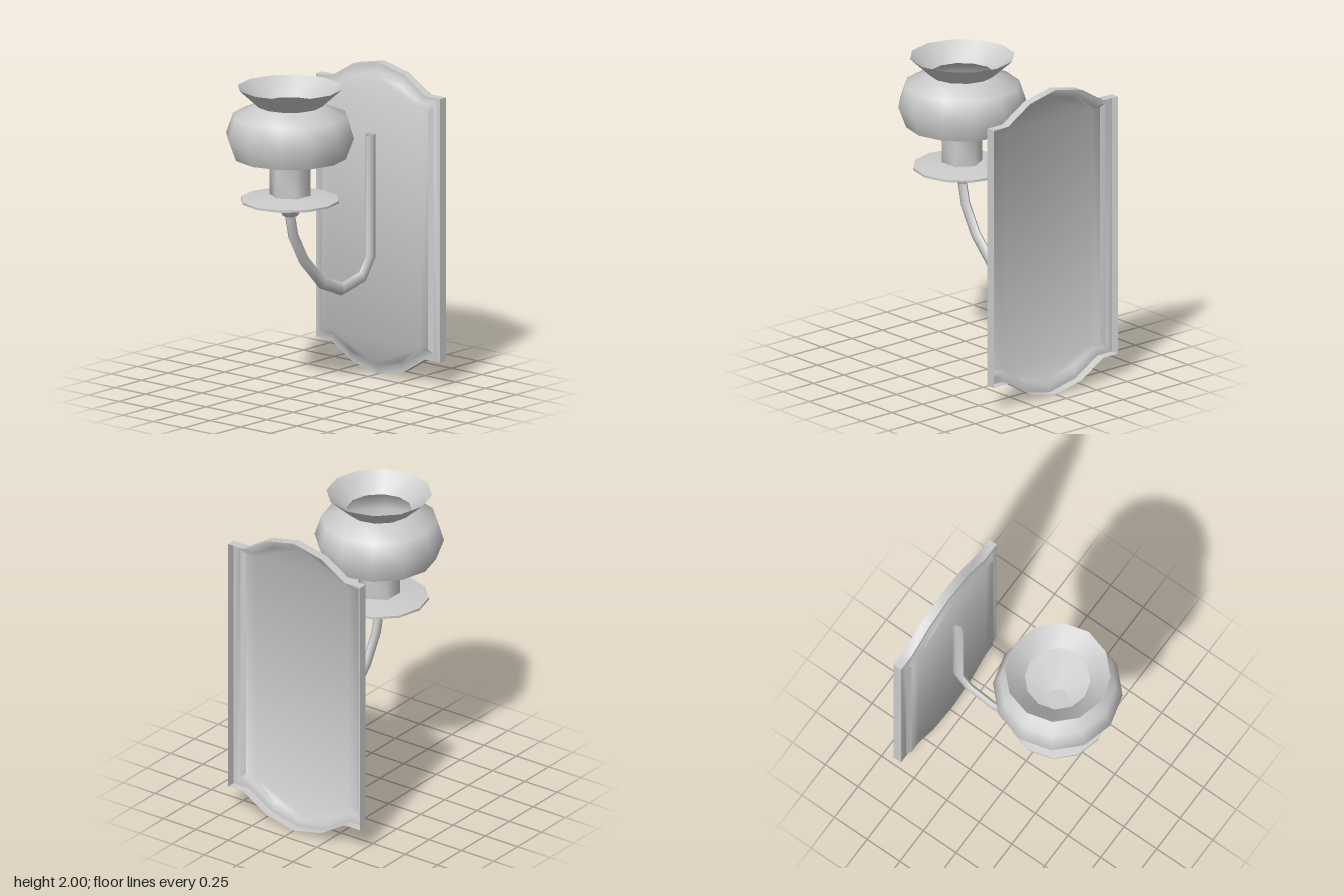
import * as THREE from 'three';
import { toCreasedNormals } from 'three/addons/utils/BufferGeometryUtils.js';

const material = new THREE.MeshStandardMaterial({ color: 0xcccccc, side: THREE.DoubleSide });
const V = (x, y, z) => new THREE.Vector3(x, y, z);

function part(name, geometry, crease = 0.97) {
  const mesh = new THREE.Mesh(toCreasedNormals(geometry, crease), material);
  mesh.name = name;
  return mesh;
}

// Skin between closed cross-sections; optional flat cap on the last one
function loft(rings, capLast = false) {
  const n = rings[0].length, index = [];
  for (let r = 0; r < rings.length - 1; r++) {
    for (let i = 0; i < n; i++) {
      const j = (i + 1) % n, a = r * n, b = a + n;
      index.push(a + i, a + j, b + j, a + i, b + j, b + i);
    }
  }
  if (capLast) {
    const last = rings.length - 1;
    const outline = rings[last].map(p => new THREE.Vector2(p.x, p.y));
    for (const f of THREE.ShapeUtils.triangulateShape(outline, [])) index.push(...f.map(i => i + last * n));
  }
  const g = new THREE.BufferGeometry().setFromPoints(rings.flat());
  g.setIndex(index);
  return g;
}

// Wall plate: hollow pressed sheet with a skirt, flat rim and raised panel
function wallPlate() {
  const ring = (inset, z) => {
    // right lower quarter, measured from the plate centre
    const q = [[0.21, 0.955 - inset], [0.39 - inset * 0.4, 0.845 - inset], [0.51 - inset, 0.845 - inset]];
    const right = [
      ...q.map(([x, y]) => [x, 1 - y]),
      ...q.slice().reverse().map(([x, y]) => [x, 1 + y]),
    ];
    const left = right.slice().reverse().map(([x, y]) => [-x, y]);
    return [[0, inset], ...right, [0, 2 - inset], ...left].map(([x, y]) => V(x, y, z));
  };
  return loft([ring(0, -0.65), ring(0, -0.592), ring(0.05, -0.59), ring(0.075, -0.565)], true);
}

// Curved arm: oval section swept along a bent path in the z-y plane
function arm() {
  const path = [[-0.52, 1.55], [-0.52, 0.765], [-0.44, 0.65], [-0.25, 0.608],
    [-0.06, 0.685], [0.11, 0.86], [0.21, 1.035], [0.245, 1.19]].map(([z, y]) => V(0, y, z));
  const dir = i => path[i + 1].clone().sub(path[i]).normalize();
  const rings = path.map((p, i) => {
    const before = dir(Math.max(i - 1, 0)), after = dir(Math.min(i, path.length - 2));
    const t = before.clone().add(after).normalize();
    const normal = t.clone().cross(V(1, 0, 0)).multiplyScalar(0.039 / t.dot(after));
    return Array.from({ length: 8 }, (_, k) => {
      const a = k * Math.PI / 4;
      return p.clone().addScaledVector(normal, Math.sin(a)).add(V(0.024 * Math.cos(a), 0, 0));
    });
  });
  return loft(rings);
}

const turned = (profile, sides) =>
  new THREE.LatheGeometry(profile.map(([r, y]) => new THREE.Vector2(r, y)), sides);

export function createModel() {
  const model = new THREE.Group();
  model.name = 'wallLamp';
  model.add(part('wallPlate', wallPlate()), part('arm', arm(), 1.1));

  // Turned parts share the lamp axis
  const lamp = new THREE.Group();
  lamp.name = 'lamp';
  lamp.position.z = 0.242;
  lamp.add(
    part('armFerrule', turned([[0, 1.17], [0.045, 1.17], [0.115, 1.267]], 6)),
    part('dripDish', turned([[0, 1.265], [0.31, 1.265], [0.31, 1.28], [0.12, 1.306], [0, 1.306]], 12)),
    part('socketCup', turned([[0.13, 1.295], [0.13, 1.5], [0, 1.5]], 6), 1.1),
    part('shade', turned([[0.07, 1.5], [0.355, 1.55], [0.405, 1.685], [0.362, 1.815], [0.205, 1.88], [0.33, 1.995]], 12)),
  );
  model.add(lamp);
  return model;
}
